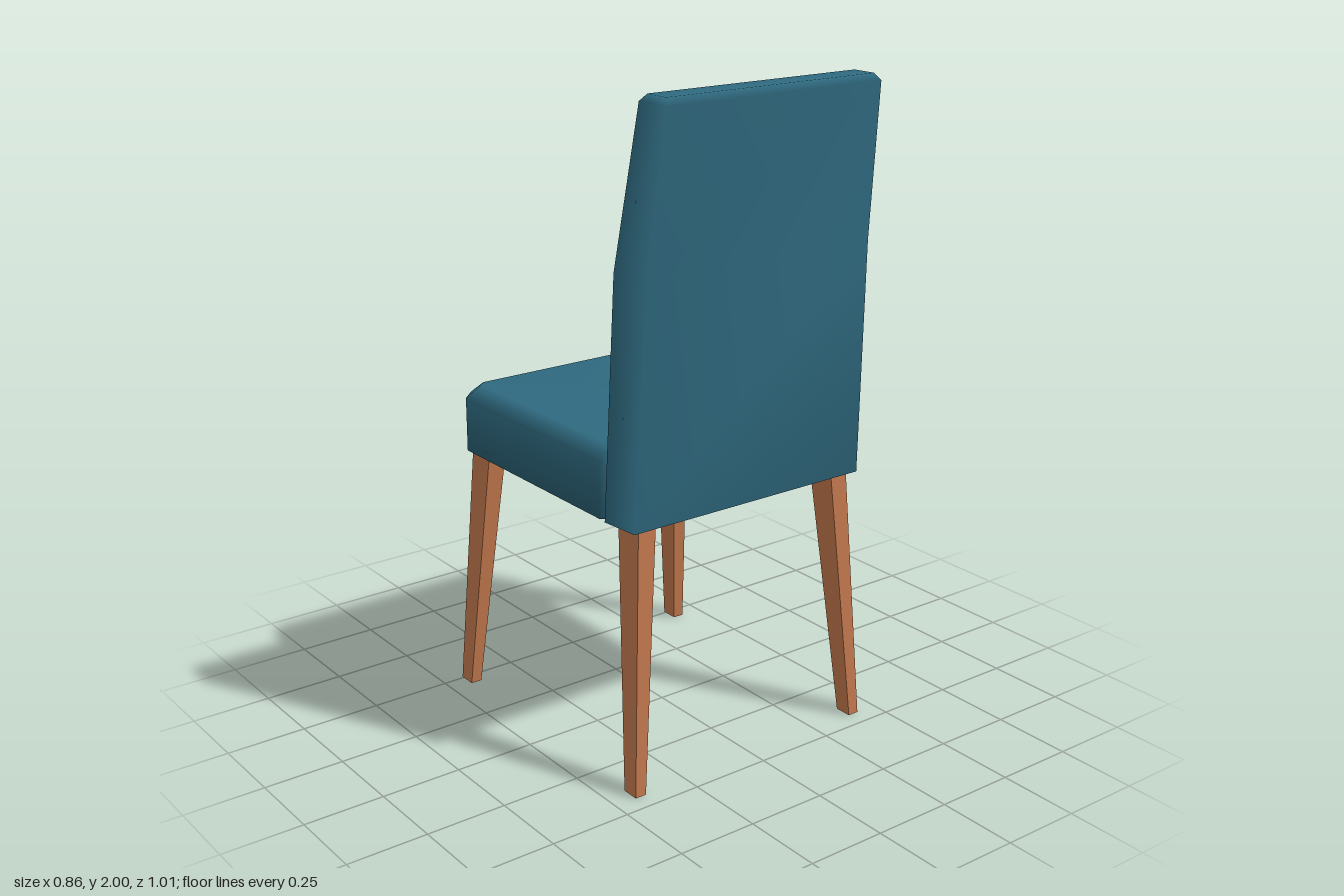
import * as THREE from 'three';

// Joins rings of [x, y, z] points, listed bottom to top and counter-clockwise from above
function loft(rings, flat) {
  const n = rings[0].length, top = (rings.length - 1) * n, index = [];
  for (let r = 0; r < rings.length - 1; r++) {
    for (let i = 0; i < n; i++) {
      const a = r * n + i, b = r * n + (i + 1) % n;
      index.push(a, b, b + n, a, b + n, a + n);
    }
  }
  for (let i = 1; i < n - 1; i++) {
    index.push(0, i + 1, i, top, top + i, top + i + 1);
  }
  let geometry = new THREE.BufferGeometry();
  geometry.setAttribute('position', new THREE.Float32BufferAttribute(rings.flat(2), 3));
  geometry.setIndex(index);
  if (flat) geometry = geometry.toNonIndexed();
  geometry.computeVertexNormals();
  return geometry;
}

// Ring with its own half-width at the -z and +z sides
const slab = (y, wNear, wFar, z0, z1) =>
  [[wFar, y, z1], [wNear, y, z0], [-wNear, y, z0], [-wFar, y, z1]];

// Rectangle with cut corners
const cutRect = (y, w, z0, z1, c0, c1) => [
  [w, y, z1 - c1], [w, y, z0 + c0], [w - c0, y, z0], [-w + c0, y, z0],
  [-w, y, z0 + c0], [-w, y, z1 - c1], [-w + c1, y, z1], [w - c1, y, z1],
];

// Plain rectangle from its limits
const rect = (y, x0, x1, z0, z1) => [[x1, y, z1], [x1, y, z0], [x0, y, z0], [x0, y, z1]];

export function createModel() {
  const chair = new THREE.Group();
  chair.name = 'chair';
  const fabric = new THREE.MeshStandardMaterial({ color: 0x2f6a80 });
  fabric.name = 'tealFabric';
  const wood = new THREE.MeshStandardMaterial({ color: 0xc0774c });
  wood.name = 'wood';

  const add = (name, geometry, material) => {
    const mesh = new THREE.Mesh(geometry, material);
    mesh.name = name;
    chair.add(mesh);
  };

  // Padded seat with bevelled top edge
  add('seat', loft([
    cutRect(0.8, 0.42, -0.485, 0.3, 0.045, 0.035),
    cutRect(0.97, 0.42, -0.485, 0.3, 0.045, 0.035),
    cutRect(1.01, 0.378, -0.438, 0.268, 0.02, 0.02),
  ]), fabric);

  // Backrest, bending backwards and narrowing towards the top
  add('backrest', loft([
    slab(0.8, 0.423, 0.412, 0.295, 0.42),
    slab(1.52, 0.409, 0.392, 0.328, 0.455),
    slab(1.98, 0.373, 0.371, 0.395, 0.507),
    slab(2.0, 0.358, 0.358, 0.412, 0.49),
  ]), fabric);

  // Tapered legs, splayed outwards
  for (const side of [1, -1]) {
    const leg = (foot, head) => loft([[0, foot], [0.81, head]].map(([y, [xi, xo, z0, z1]]) =>
      side > 0 ? rect(y, xi, xo, z0, z1) : rect(y, -xo, -xi, z0, z1)), true);
    const label = side > 0 ? 'Left' : 'Right';
    add('seatEdgeLeg' + label, leg([0.394, 0.43, -0.507, -0.45], [0.325, 0.385, -0.463, -0.368]), wood);
    add('backrestLeg' + label, leg([0.394, 0.43, 0.39, 0.445], [0.325, 0.385, 0.307, 0.402]), wood);
  }

  return chair;
}
